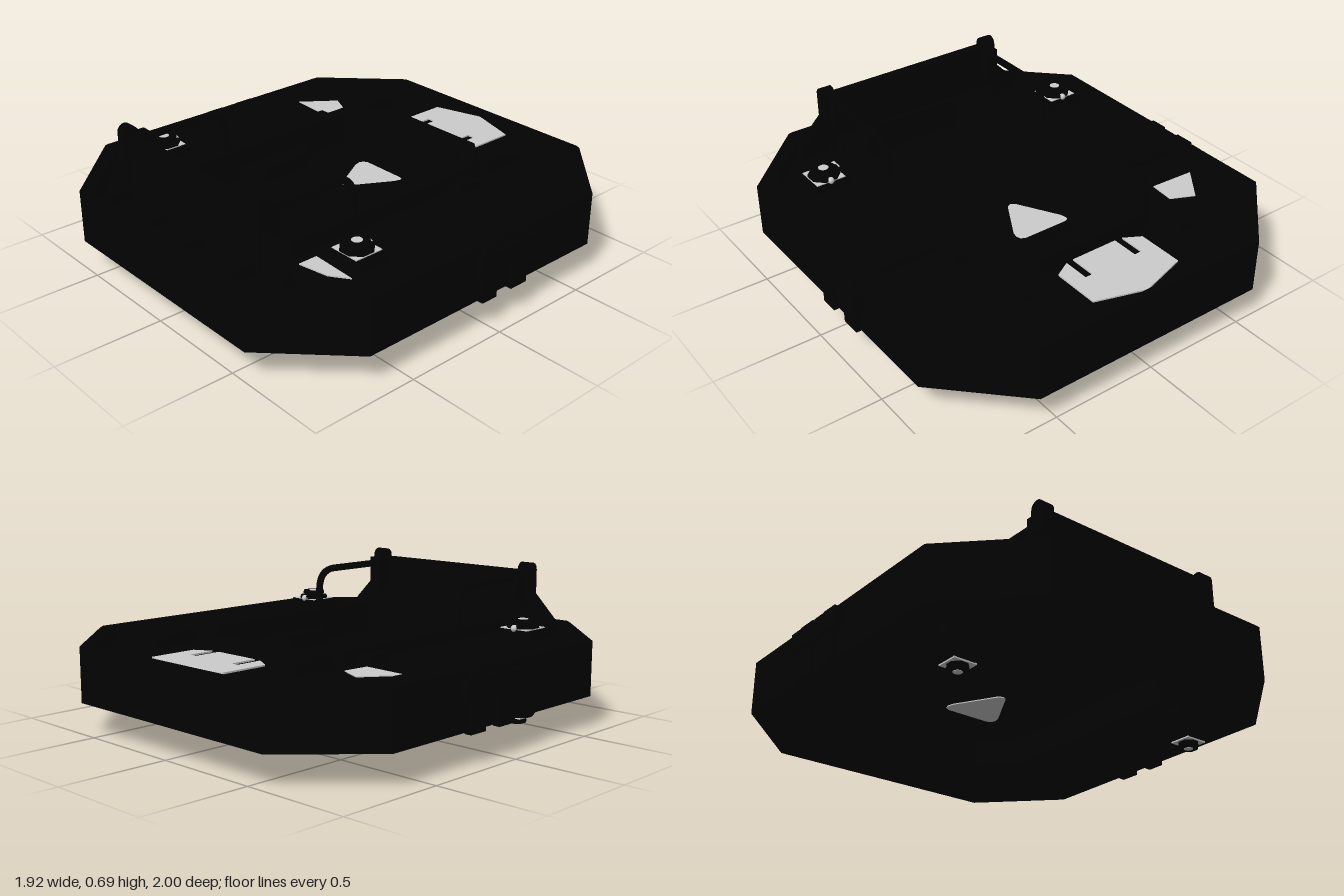
import * as THREE from 'three';

export function createModel() {
  const model = new THREE.Group();
  const black = new THREE.MeshStandardMaterial({ color: 0x020202 });
  black.name = 'black metal';
  const grey = new THREE.MeshStandardMaterial({ color: 0xcccccc });
  grey.name = 'light grey';

  function add(name, geo, mat = black, x = 0, y = 0, z = 0) {
    const mesh = new THREE.Mesh(geo, mat);
    mesh.name = name;
    mesh.position.set(x, y, z);
    model.add(mesh);
    return mesh;
  }
  // Box given by its limits on each axis
  function box(name, x0, x1, y0, y1, z0, z1, mat = black) {
    return add(name, new THREE.BoxGeometry(x1 - x0, y1 - y0, z1 - z0), mat, (x0 + x1) / 2, (y0 + y1) / 2, (z0 + z1) / 2);
  }
  // Box on both sides of the model, limits given for +x
  function pair(name, x0, x1, ...rest) {
    box(name, x0, x1, ...rest);
    box(name, -x1, -x0, ...rest);
  }
  const cylinder = (name, top, bottom, height, sides, mat, x, y, z) =>
    add(name, new THREE.CylinderGeometry(top, bottom, height, sides).rotateY(Math.PI / 8), mat, x, y, z);
  // Flat plate from an outline of [x, z] points
  function outline(points) {
    return new THREE.Shape(points.map(([x, z]) => new THREE.Vector2(x, -z)));
  }
  function slab(name, points, y, height, mat = black, holes = []) {
    const shape = outline(points);
    shape.holes = holes.map(outline);
    const geo = new THREE.ExtrudeGeometry(shape, { depth: height, bevelEnabled: false });
    return add(name, geo.rotateX(-Math.PI / 2), mat, 0, y, 0);
  }
  // Skin through octagonal rings: [half width, back z, front z, corner cut, y]
  function octagonLoft(rings) {
    const loops = rings.map(([h, b, f, c, y]) => [
      [h, b + c], [h, f - c], [h - c, f], [c - h, f],
      [-h, f - c], [-h, b + c], [c - h, b], [h - c, b]
    ].map(([x, z]) => [x, y, z]));
    const pos = [];
    for (let i = 0; i + 1 < loops.length; i++) {
      const a = loops[i], b = loops[i + 1];
      for (let j = 0; j < 8; j++) {
        const k = (j + 1) % 8;
        pos.push(...a[j], ...b[j], ...b[k], ...a[j], ...b[k], ...a[k]);
      }
    }
    const geo = new THREE.BufferGeometry();
    geo.setAttribute('position', new THREE.Float32BufferAttribute(pos, 3));
    geo.computeVertexNormals();
    return geo;
  }

  // Body: dished underside, outer wall, rim, lower deck, raised collar and sunken centre
  add('hatchBody', octagonLoft([
    [0, 0.11, 0.11, 0, 0.257],
    [0.37, -0.52, 0.74, 0.15, 0.257],
    [0.38, -0.53, 0.75, 0.155, 0.125],
    [0.45, -0.6, 0.83, 0.17, 0.125],
    [0.46, -0.61, 0.84, 0.17, 0.165],
    [0.88, -0.96, 0.96, 0.33, 0.165],
    [0.89, -0.97, 0.97, 0.33, 0.14],
    [0.923, -1, 1, 0.34, 0.14],
    [0.923, -1, 1, 0.34, 0.39],
    [0.91, -0.99, 0.99, 0.338, 0.4],
    [0.82, -0.97, 0.97, 0.31, 0.4],
    [0.8, -0.955, 0.955, 0.31, 0.37],
    [0.465, -0.615, 0.845, 0.175, 0.37],
    [0.45, -0.6, 0.83, 0.17, 0.43],
    [0.385, -0.535, 0.755, 0.155, 0.43],
    [0.38, -0.53, 0.75, 0.155, 0.285],
    [0, 0.11, 0.11, 0, 0.285]
  ]));

  // Sloping ribs running off the collar at the back and front
  const rib = new THREE.Shape([
    [-0.72, 0.36], [0.95, 0.36], [0.95, 0.4], [0.83, 0.43], [0.7, 0.43],
    [0.7, 0.37], [-0.5, 0.37], [-0.5, 0.43], [-0.6, 0.43], [-0.72, 0.4]
  ].map(([z, y]) => new THREE.Vector2(z, y)));
  for (const x of [0.46, -0.4]) {
    add('collarRib', new THREE.ExtrudeGeometry(rib, { depth: 0.06, bevelEnabled: false }).rotateY(-Math.PI / 2), black, x, 0, 0);
  }

  // Triangular window showing on both faces, in a raised frame
  const triangle = s => [
    [-0.11, -0.145], [0.11, -0.145], [0.132, -0.135], [0.14, -0.115], [0.133, -0.085],
    [0.022, 0.11], [0, 0.122], [-0.022, 0.11], [-0.133, -0.085], [-0.14, -0.115], [-0.132, -0.135]
  ].map(([x, z]) => [x * s, z * s - 0.142]);
  slab('triangleWindow', triangle(1), 0.252, 0.04, grey);
  slab('triangleFrame', triangle(1.25), 0.28, 0.022, black, [triangle(1.01)]);

  // Round fitting and ribs in the sunken centre
  add('centreRing', new THREE.TorusGeometry(0.15, 0.012, 8, 40).rotateX(Math.PI / 2), black, 0, 0.29, 0.25);
  box('centreBar', -0.008, 0.008, 0.275, 0.295, 0.08, 0.74);
  box('lowerRib', -0.2, 0.2, 0.235, 0.26, 0.35, 0.4);
  for (const s of [1, -1]) {
    slab('sideLatch', [[0.39, -0.14], [0.39, 0.29], [0.32, 0.23], [0.28, 0.2], [0.28, -0.04], [0.32, -0.08]]
      .map(([x, z]) => [x * s, z]), 0.27, 0.08);
  }

  // Raised side panels and trim lines on the deck
  pair('sidePanel', 0.52, 0.81, 0.36, 0.4, -0.22, 0.575);
  pair('rearTrim', 0.46, 0.53, 0.36, 0.41, -0.36, -0.24);
  pair('frontTrim', 0.12, 0.14, 0.36, 0.4, 0.84, 0.94);

  // Painted deck plates; the rear one has two slots
  function paint(name, points, y) {
    slab(name, points, y - 0.008, 0.008, grey);
  }
  paint('rearPlate', [
    [-0.23, -0.88], [0, -0.95], [0.23, -0.88], [0.23, -0.66],
    [0.152, -0.617], [0.152, -0.74], [0.115, -0.74], [0.115, -0.605],
    [-0.115, -0.605], [-0.115, -0.74], [-0.152, -0.74], [-0.152, -0.617], [-0.23, -0.66]
  ], 0.377);
  paint('rightPatch', [[-0.64, -0.56], [-0.53, -0.51], [-0.54, -0.39], [-0.76, -0.4]], 0.374);
  paint('leftPatch', [[0.52, 0.58], [0.74, 0.59], [0.66, 0.645], [0.52, 0.67]], 0.376);

  // Upright front shield with flared wings
  const shield = new THREE.Shape([
    [-0.62, 0.37], [0.62, 0.37], [0.62, 0.42], [0.48, 0.56],
    [0.48, 0.65], [-0.48, 0.65], [-0.48, 0.56], [-0.62, 0.42]
  ].map(([x, y]) => new THREE.Vector2(x, y)));
  add('shield', new THREE.ExtrudeGeometry(shield, { depth: 0.05, bevelEnabled: false }), black, 0, 0, 0.78);
  box('shieldFoot', -0.48, 0.48, 0.36, 0.43, 0.75, 0.845);

  for (const s of [1, -1]) {
    // Posts with rounded tops, brackets and bent support rails
    box('shieldPost', s * 0.46 - 0.03, s * 0.46 + 0.03, 0.4, 0.655, 0.77, 0.84);
    add('postCap', new THREE.CylinderGeometry(0.035, 0.035, 0.06, 20).rotateZ(Math.PI / 2), black, s * 0.46, 0.655, 0.805);
    add('postPin', new THREE.CylinderGeometry(0.012, 0.012, 0.1, 12).rotateZ(Math.PI / 2), black, s * 0.45, 0.62, 0.8);
    box('railBracket', s * 0.44 - 0.03, s * 0.44 + 0.03, 0.5, 0.65, 0.72, 0.78);
    const rail = new THREE.CurvePath();
    const v = (y, z) => new THREE.Vector3(s * 0.44, y, z);
    rail.add(new THREE.LineCurve3(v(0.62, 0.74), v(0.62, 0.42)));
    rail.add(new THREE.QuadraticBezierCurve3(v(0.62, 0.42), v(0.62, 0.315), v(0.52, 0.315)));
    rail.add(new THREE.LineCurve3(v(0.52, 0.315), v(0.41, 0.315)));
    add('supportRail', new THREE.TubeGeometry(rail, 40, 0.017, 10), black);

    // Upper knob on its grey square
    const x = s * 0.665;
    box('knobBase', x - 0.1, x + 0.1, 0.38, 0.425, 0.42, 0.57);
    box('knobStep', x - 0.085, x + 0.085, 0.42, 0.438, 0.425, 0.565);
    box('knobPlate', x - 0.072, x + 0.072, 0.437, 0.442, 0.426, 0.564, grey);
    cylinder('knobSkirt', 0.072, 0.075, 0.012, 8, black, x, 0.448, 0.495);
    cylinder('knobStem', 0.045, 0.045, 0.02, 8, black, x, 0.46, 0.495);
    cylinder('knobCap', 0.055, 0.058, 0.014, 8, black, x, 0.472, 0.495);
    cylinder('knobCentre', 0.024, 0.024, 0.006, 16, grey, x, 0.477, 0.495);
    add('knobBead', new THREE.SphereGeometry(0.016, 12, 8), grey, x, 0.443, 0.43);

    // Lower knob housing tapering down to its own knob
    const u = s * 0.64;
    add('lowerHousing', new THREE.LatheGeometry([
      [0, 0.035], [0.075, 0.035], [0.095, 0.06], [0.11, 0.17]
    ].map(([r, y]) => new THREE.Vector2(r, y)), 24).scale(1, 1, 0.83), black, u, 0, 0.5);
    box('lowerKnobPlate', u - 0.055, u + 0.055, 0.029, 0.036, 0.45, 0.55, grey);
    cylinder('lowerKnobStem', 0.048, 0.04, 0.02, 8, black, u, 0.022, 0.5);
    cylinder('lowerKnobCap', 0.048, 0.044, 0.014, 8, black, u, 0.009, 0.5);
    cylinder('lowerKnobCentre', 0.02, 0.02, 0.006, 16, grey, u, 0.003, 0.5);
  }

  // Side clamps, two on each wall
  for (const [z0, z1] of [[-0.26, -0.085], [-0.075, 0.09]]) {
    pair('clamp', 0.91, 0.962, 0.27, 0.36, z0, z1);
    pair('clampStrap', 0.91, 0.942, 0.13, 0.385, z0 + 0.04, z1 - 0.04);
  }
  return model;
}
